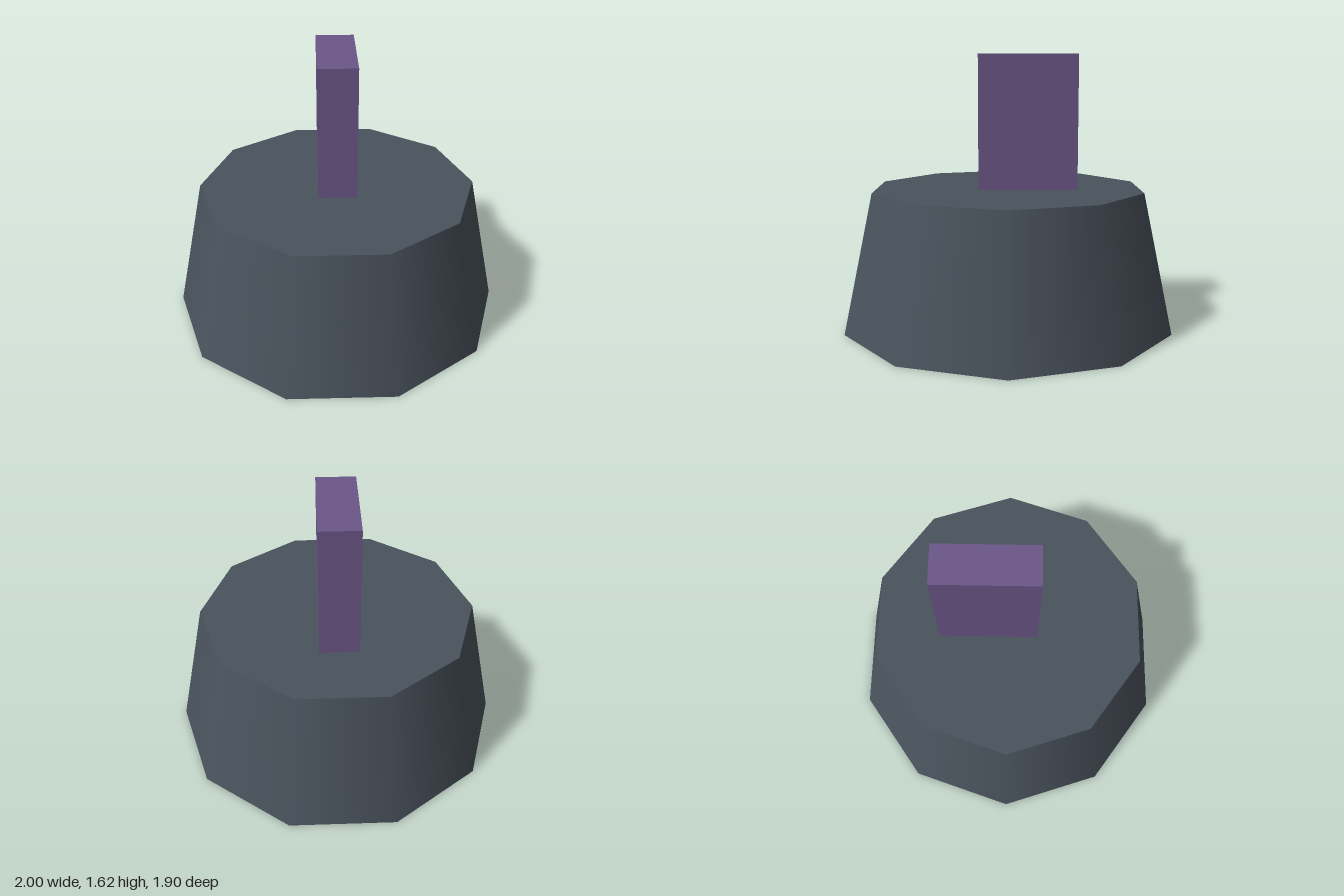
import * as THREE from 'three';

export function createModel() {
  const model = new THREE.Group();
  const baseHeight = 0.825;

  function addPart(name, geometry, color, x, y, z) {
    const mesh = new THREE.Mesh(geometry, new THREE.MeshStandardMaterial({ color }));
    mesh.name = name;
    mesh.position.set(x, y, z);
    model.add(mesh);
  }

  // Tapered ten-sided base, smooth-shaded sides, with corners on the x axis
  addPart('base',
    new THREE.CylinderGeometry(0.823, 1, baseHeight, 10, 1, false, Math.PI / 2),
    0x4a535d, 0, baseHeight / 2, 0);

  // Upright slab on top, set towards the back
  const slabHeight = 1.62 - baseHeight;
  addPart('slab',
    new THREE.BoxGeometry(0.23, slabHeight, 0.585),
    0x6b5688, 0, baseHeight + slabHeight / 2, -0.118);

  return model;
}
